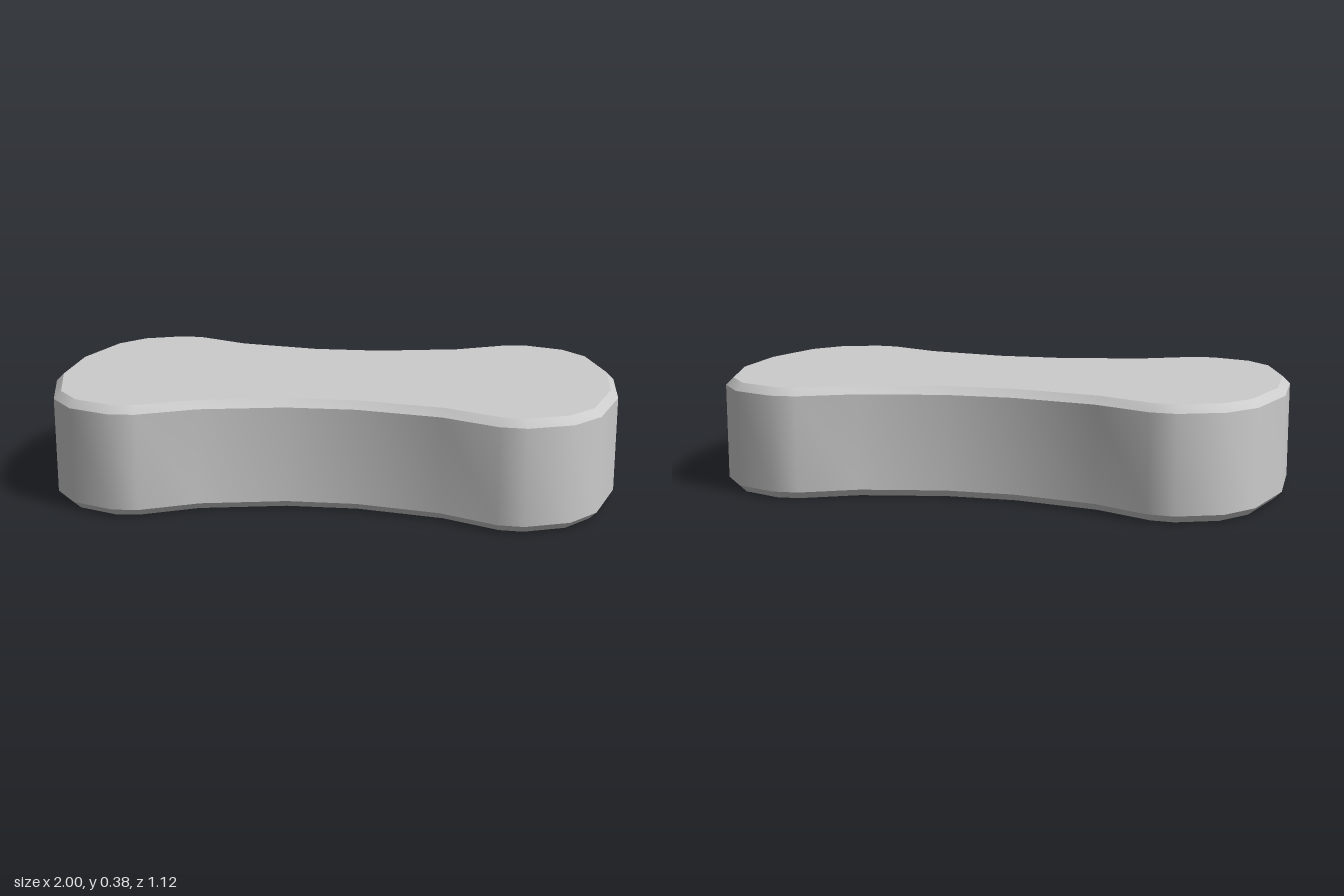
import * as THREE from 'three';
import { toCreasedNormals } from 'three/addons/utils/BufferGeometryUtils.js';

const HEIGHT = 0.385;
const BEVEL = 0.026;

// One quarter of the waisted outline, from the waist round to the end
const QUARTER = [
  [0.12, 0.4], [0.41, 0.46], [0.6, 0.553], [0.69, 0.56],
  [0.84, 0.5], [0.93, 0.388], [1, 0.135],
];

// Mirror the quarter into a full closed outline
function outline() {
  const mirror = (sx, sy) => QUARTER.map(([x, y]) => new THREE.Vector2(x * sx, y * sy));
  return new THREE.Shape([
    ...mirror(1, 1),
    ...mirror(1, -1).reverse(),
    ...mirror(-1, -1),
    ...mirror(-1, 1).reverse(),
  ]);
}

export function createModel() {
  const group = new THREE.Group();
  group.name = 'waistedBlock';

  // Solid block with chamfered top and bottom rims
  let geometry = new THREE.ExtrudeGeometry(outline(), {
    depth: HEIGHT - 2 * BEVEL,
    bevelEnabled: true,
    bevelThickness: BEVEL,
    bevelSize: BEVEL,
    bevelOffset: -BEVEL,
    bevelSegments: 1,
  });
  geometry.rotateX(-Math.PI / 2);
  geometry.translate(0, BEVEL, 0);

  // Sides blend smoothly, chamfer edges stay crisp
  geometry = toCreasedNormals(geometry, THREE.MathUtils.degToRad(40));

  const block = new THREE.Mesh(geometry, new THREE.MeshStandardMaterial({ color: 0xcccccc }));
  block.name = 'block';
  group.add(block);
  return group;
}
